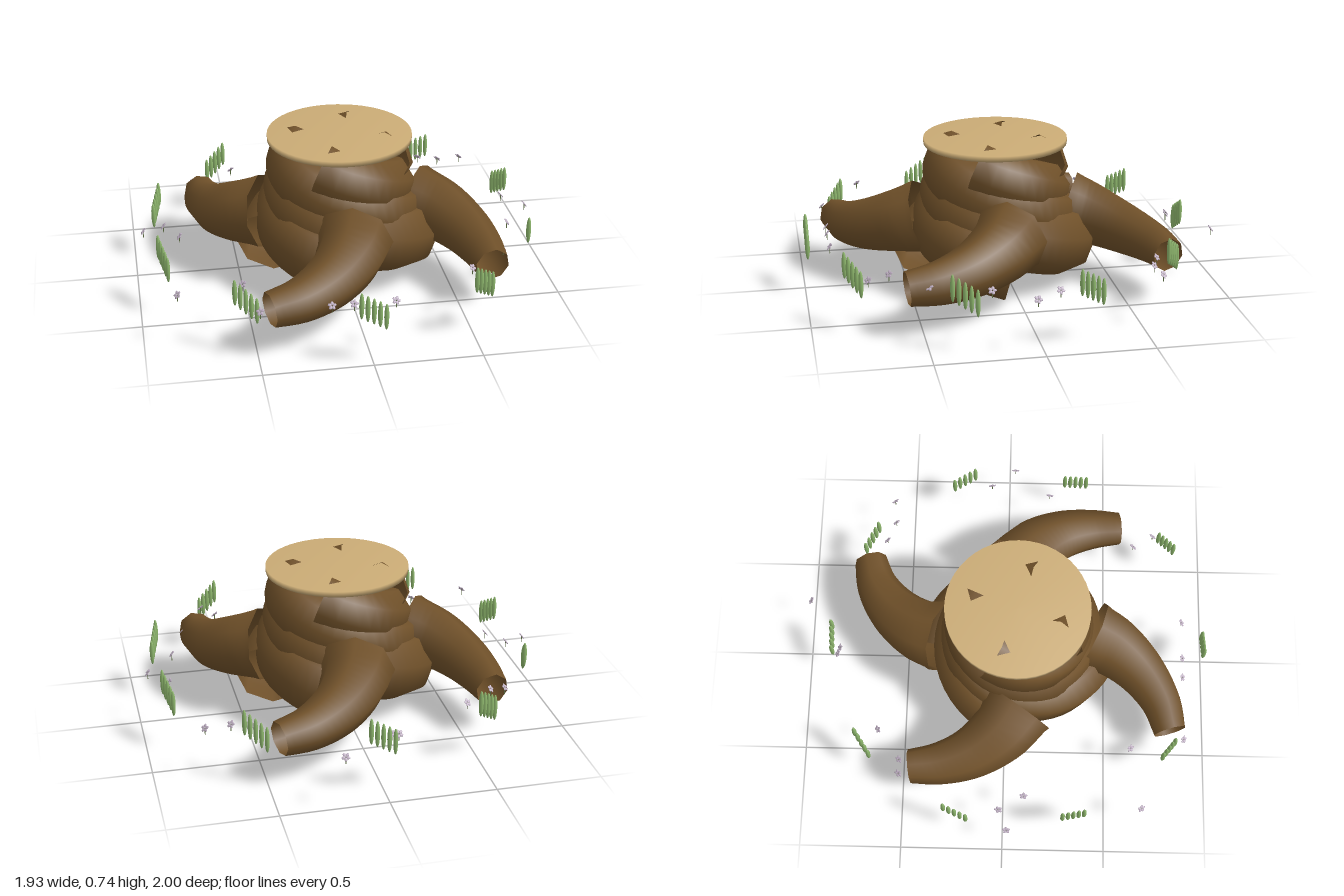
import * as THREE from 'three';

const material = (name, color, side = THREE.FrontSide) => {
  const m = new THREE.MeshStandardMaterial({ color, side });
  m.name = name;
  return m;
};

// Tube along a curve whose radius runs from r0 to r1
function taperedTube(curve, segments, sides, r0, r1, power) {
  const geo = new THREE.TubeGeometry(curve, segments, 1, sides, false);
  const pos = geo.attributes.position;
  const v = new THREE.Vector3();
  for (let i = 0; i <= segments; i++) {
    const t = i / segments;
    const centre = curve.getPointAt(t);
    const r = r0 + (r1 - r0) * Math.pow(t, power);
    for (let j = 0; j <= sides; j++) {
      const k = i * (sides + 1) + j;
      v.fromBufferAttribute(pos, k).sub(centre).multiplyScalar(r).add(centre);
      pos.setXYZ(k, v.x, v.y, v.z);
    }
  }
  return geo;
}

export function createModel() {
  const bark = material('bark', 0x6f5029, THREE.DoubleSide);
  const wood = material('cut wood', 0xcbac76);
  const green = material('grass green', 0x8fb86e);
  const mauve = material('petal mauve', 0xc4b4c8);
  const stemGreen = material('stem green', 0x66784a);

  const model = new THREE.Group();
  model.name = 'treeStump';
  const stump = new THREE.Group();
  stump.name = 'stump';
  stump.position.z = 0.055;
  model.add(stump);

  const add = (parent, name, geo, mat, x = 0, y = 0, z = 0) => {
    const mesh = new THREE.Mesh(geo, mat);
    mesh.name = name;
    mesh.position.set(x, y, z);
    parent.add(mesh);
    return mesh;
  };

  // Four thick strands winding down around the trunk
  const helix = [];
  for (let i = 0; i <= 18; i++) {
    const t = i / 18;
    const a = THREE.MathUtils.degToRad(-32 + 307 * t);
    const r = 0.218 + 0.115 * Math.pow(t, 2.8);
    helix.push(new THREE.Vector3(Math.sin(a) * r, 0.614 - 0.432 * t, Math.cos(a) * r));
  }
  const strandGeo = taperedTube(new THREE.CatmullRomCurve3(helix), 36, 8, 0.138, 0.185, 1.8);
  for (let i = 0; i < 4; i++) {
    add(stump, 'trunkStrand', strandGeo, bark).rotation.y = i * Math.PI / 2;
  }

  // Curving roots, in two opposite pairs: [sideways, height, outward]
  const rootPaths = [
    [[0.01, 0.34, 0.365], [-0.03, 0.31, 0.47], [-0.14, 0.265, 0.61], [-0.29, 0.235, 0.715], [-0.44, 0.222, 0.76]],
    [[0.01, 0.34, 0.365], [-0.07, 0.31, 0.48], [-0.21, 0.265, 0.58], [-0.365, 0.235, 0.63], [-0.515, 0.222, 0.645]],
  ];
  const rootGeos = rootPaths.map((path) => taperedTube(
    new THREE.CatmullRomCurve3(path.map((p) => new THREE.Vector3(...p))), 18, 8, 0.187, 0.083, 0.85));
  for (let i = 0; i < 4; i++) {
    add(stump, 'root', rootGeos[i % 2], bark).rotation.y = i * Math.PI / 2;
  }

  // Cut top, softly shaded over its rim
  const topProfile = [[0, 0.7], [0.348, 0.7], [0.348, 0.727], [0, 0.727]];
  add(stump, 'cutTop', new THREE.LatheGeometry(topProfile.map((p) => new THREE.Vector2(...p)), 48), wood);

  // Ten rows of grass blades in a ring, each row stepping downwards
  const bladeGeo = new THREE.SphereGeometry(1, 8, 8);
  bladeGeo.scale(0.0115, 0.066, 0.0115);
  for (let i = 0; i < 10; i++) {
    const row = new THREE.Group();
    row.name = 'grassRow';
    row.rotation.y = i * Math.PI / 5;
    stump.add(row);
    for (let j = -2; j <= 2; j++) {
      add(row, 'grassBlade', bladeGeo, green, j * 0.028, 0.268 - j * 0.016, 0.928);
    }
  }

  // Small flowers scattered around, as x, z
  const spots = [
    [0.2, -0.99], [-0.08, -0.84], [-0.05, -0.83], [-0.47, -0.62], [-0.69, -0.51], [-0.62, -0.51],
    [-0.86, -0.02], [-0.96, 0.02], [-0.79, 0.1], [-0.84, 0.67], [-0.54, 0.62], [-0.49, 0.88],
    [-0.17, 0.88], [-0.07, 0.88], [0.12, 0.88], [0.59, 0.74], [0.53, 0.64], [0.72, 0.48],
    [0.81, 0.21], [0.95, 0.03], [0.86, -0.09], [0.76, -0.59], [0.64, -0.58], [0.54, -0.62],
  ];
  const petalGeo = new THREE.SphereGeometry(1, 6, 4);
  petalGeo.scale(0.0075, 0.003, 0.01);
  const stemGeo = new THREE.CylinderGeometry(0.002, 0.002, 0.035, 5);
  spots.forEach(([x, z], i) => {
    const flower = new THREE.Group();
    flower.name = 'flower';
    flower.position.set(x, 0.255, z);
    // Blossoms face outward from the stump
    flower.rotation.y = Math.atan2(x, z - 0.055);
    model.add(flower);
    add(flower, 'flowerStem', stemGeo, stemGreen, 0, -0.0175, 0);
    const blossom = new THREE.Group();
    blossom.name = 'blossom';
    blossom.rotation.x = 0.9;
    flower.add(blossom);
    for (let k = 0; k < 5; k++) {
      const a = (k / 5) * Math.PI * 2 + i;
      add(blossom, 'petal', petalGeo, mauve, Math.sin(a) * 0.011, 0, Math.cos(a) * 0.011).rotation.y = a;
    }
  });

  return model;
}
